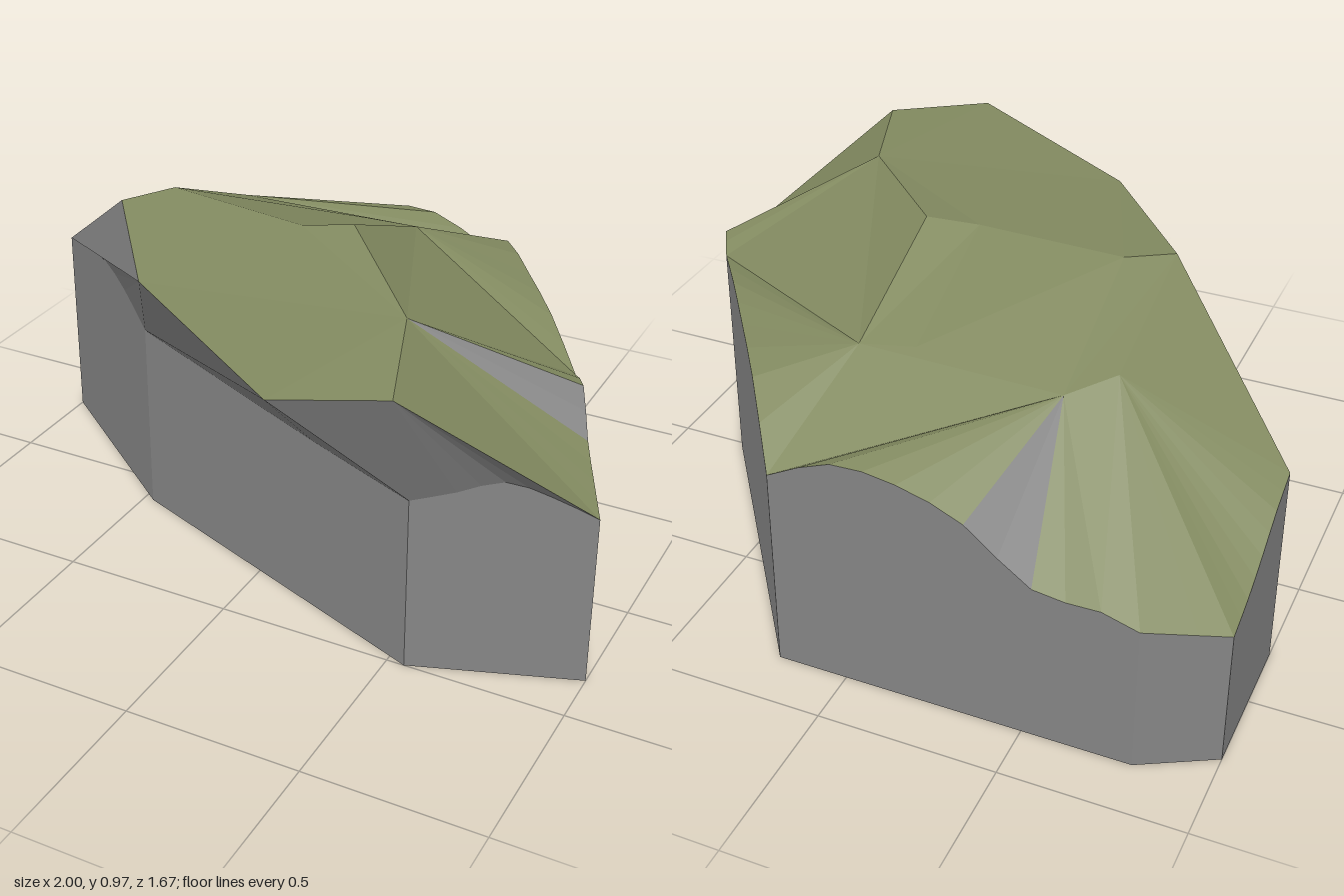
import * as THREE from 'three';

// Plateau corners [x, y, z]: 0-7 run round its edge, 8-11 lie inside it
const plateau = [
  [0.12, 0.80, -0.47], [0.45, 0.925, 0.32], [0.58, 0.90, 0.68], [0.32, 0.91, 0.83],
  [-0.26, 0.925, 0.45], [-0.56, 0.95, 0.06], [-0.56, 0.82, -0.37], [-0.45, 0.79, -0.47],
  [0.12, 0.97, -0.05], [-0.02, 0.955, -0.01], [-0.45, 0.97, -0.05], [-0.03, 0.81, -0.44],
];

// Inner parts of the plateau, each a fan round its first corner
const plateauFans = [
  [9, 1, 8, 0, 11, 10, 4, 1], [10, 11, 7, 5, 4], [0, 8, 1], [0, 7, 11], [7, 6, 5], [1, 4, 3, 2],
];

// Walls round the block: start [x, z], plateau corner above, evenly spaced rim heights
const walls = [
  { start: [0.20, -0.84], corner: 0, heights: [0.60, 0.735, 0.745, 0.735] },
  { start: [0.79, -0.02], corner: 1, heights: [0.685, 0.71, 0.605, 0.55] },
  { start: [1.00, 0.34], corner: 2, heights: [0.50, 0.555, 0.59, 0.55] },
  { start: [0.55, 0.50], corner: 3, heights: [0.515, 0.53, 0.555] },
  { start: [-0.47, 0.11], corner: 4, heights: [0.58, 0.635, 0.66, 0.635] },
  { start: [-1.00, -0.30], corner: 6, heights: [0.60, 0.555, 0.49, 0.435] },
  { start: [-1.00, -0.73], corner: 6, heights: [0.40] },
  { start: [-0.80, -0.84], corner: 6, heights: [0.43] },
  { start: [-0.70, -0.84], corner: 7, heights: [0.46, 0.47, 0.61, 0.675, 0.685] },
];

// Rim points along one wall: a smooth curve through its heights
function rimOf(wall, i) {
  const next = walls[(i + 1) % walls.length];
  const heights = [...wall.heights, next.heights[0]];
  const spans = wall.heights.length;
  const curve = new THREE.CatmullRomCurve3(heights.map((y, k) => new THREE.Vector3(
    THREE.MathUtils.lerp(wall.start[0], next.start[0], k / spans), y,
    THREE.MathUtils.lerp(wall.start[1], next.start[1], k / spans),
  )));
  return curve.getPoints(spans * 2).slice(0, -1).map((point) => ({ point, corner: wall.corner }));
}

// Flat-shaded mesh from a list of triangles
function facetedMesh(name, triangles, color) {
  const geometry = new THREE.BufferGeometry().setFromPoints(triangles.flat());
  geometry.computeVertexNormals();
  const mesh = new THREE.Mesh(geometry, new THREE.MeshStandardMaterial({ color, flatShading: true }));
  mesh.name = name;
  return mesh;
}

export function createModel() {
  const corners = plateau.map((p) => new THREE.Vector3(...p));
  const upper = [];
  const sides = [];
  const floor = [];

  // Plateau
  for (const [hub, ...ring] of plateauFans) {
    for (let k = 0; k < ring.length - 1; k++) {
      upper.push([corners[hub], corners[ring[k]], corners[ring[k + 1]]]);
    }
  }

  const rim = walls.flatMap(rimOf);
  const centre = new THREE.Vector3(0, 0, -0.17);
  rim.forEach(({ point: a, corner }, i) => {
    const { point: b, corner: nextCorner } = rim[(i + 1) % rim.length];
    const aFoot = a.clone().setY(0);
    const bFoot = b.clone().setY(0);

    // Upright wall and underside
    sides.push([bFoot, aFoot, a], [bFoot, a, b]);
    floor.push([aFoot, bFoot, centre]);

    // Slope up to the plateau corner, and filling between neighbouring slopes
    upper.push([b, a, corners[corner]]);
    for (let c = corner; c !== nextCorner; c = (c + 1) % 8) {
      upper.push([b, corners[c], corners[(c + 1) % 8]]);
    }
  });

  // Grass grows on gentle faces; steep and overhanging ones are bare rock
  const normal = new THREE.Vector3();
  const isGrass = (face) => new THREE.Triangle(...face).getNormal(normal).y > 0.73;

  const cliff = new THREE.Group();
  cliff.name = 'cliffBlock';
  cliff.add(
    facetedMesh('grassTop', upper.filter(isGrass), 0x828a60),
    facetedMesh('rockSlopes', upper.filter((face) => !isGrass(face)), 0x858585),
    facetedMesh('rockWalls', sides, 0x858585),
    facetedMesh('underside', floor, 0x858585),
  );
  return cliff;
}
